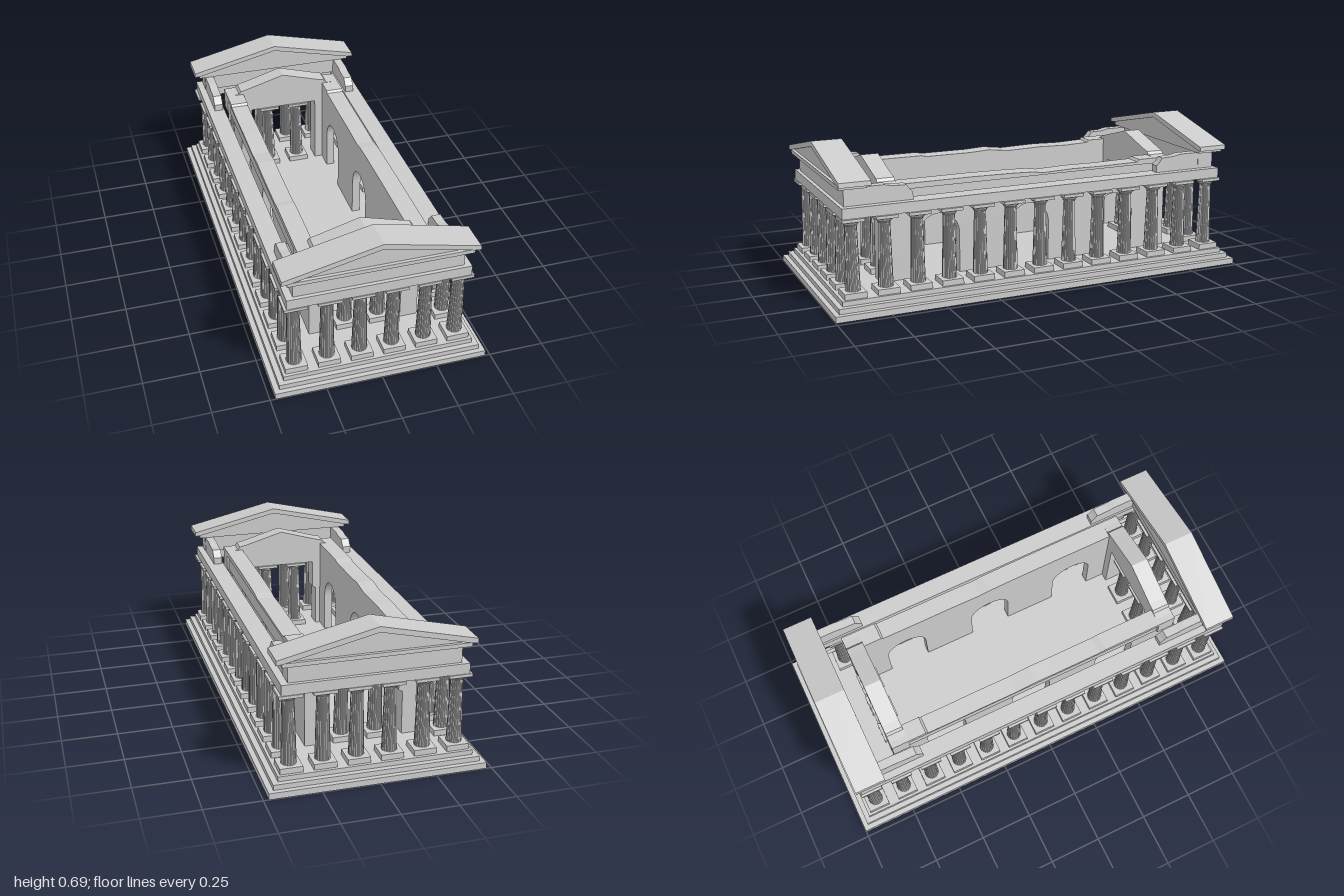
import * as THREE from 'three';

const stone = new THREE.MeshStandardMaterial({ color: 0xcccccc, flatShading: true });

export function createModel() {
  const temple = new THREE.Group();
  temple.name = 'ruinedTemple';

  const add = (name, geometry, parent = temple) => {
    const mesh = new THREE.Mesh(geometry, stone);
    mesh.name = name;
    parent.add(mesh);
    return mesh;
  };
  // Box given by its limits on each axis
  const box = (x0, x1, y0, y1, z0, z1) =>
    new THREE.BoxGeometry(x1 - x0, y1 - y0, z1 - z0)
      .translate((x0 + x1) / 2, (y0 + y1) / 2, (z0 + z1) / 2);
  const polygon = (pts) => new THREE.Shape(pts.map(([x, y]) => new THREE.Vector2(x, y)));
  const extrude = (shape, depth) =>
    new THREE.ExtrudeGeometry(shape, { depth, bevelEnabled: false, curveSegments: 10 });
  // Outline in x and y, filled from z0 to z1
  const acrossZ = (shape, z0, z1) => extrude(shape, z1 - z0).translate(0, 0, z0);
  // Outline in z and y, filled from x0 to x1
  const acrossX = (shape, x0, x1) =>
    extrude(shape, x1 - x0).rotateY(-Math.PI / 2).translate(x1, 0, 0);
  // Rectangular ring of a given width, lying flat from y0 to y1
  const corners = (x, z) => [[-x, -z], [x, -z], [x, z], [-x, z]];
  const frame = (x, z, width, y0, y1) => {
    const shape = polygon(corners(x, z));
    shape.holes.push(polygon(corners(x - width, z - width)));
    return extrude(shape, y1 - y0).rotateX(-Math.PI / 2).translate(0, y0, 0);
  };

  // Stepped platform: two hollow steps under a floor slab
  add('lowerStep', frame(0.477, 1, 0.05, 0, 0.028));
  add('middleStep', frame(0.453, 0.978, 0.05, 0.028, 0.051));
  add('floorSlab', box(-0.428, 0.428, 0.051, 0.073, -0.955, 0.955));

  // Column pieces: plinth, fluted tapering shaft, flared capital, square abacus
  const shaft = new THREE.CylinderGeometry(0.0265, 0.034, 0.295, 40, 4, true);
  const p = shaft.attributes.position;
  for (let i = 0; i < p.count; i++) {
    const flute = (i % 41) % 2 ? 0.93 : 1;
    p.setXYZ(i, p.getX(i) * flute, p.getY(i) + 0.2475, p.getZ(i) * flute);
  }
  const capital = new THREE.LatheGeometry([
    [0.026, 0.387], [0.03, 0.39], [0.031, 0.395], [0.038, 0.401], [0.043, 0.408], [0.044, 0.414],
  ].map(([r, y]) => new THREE.Vector2(r, y)), 20);
  const plinth = box(-0.05, 0.05, 0.073, 0.099, -0.05, 0.05);
  const abacus = box(-0.051, 0.051, 0.411, 0.425, -0.05, 0.05);

  const addColumn = (name, x, z) => {
    const column = new THREE.Group();
    column.name = name;
    add('plinth', plinth, column);
    add('flutedShaft', shaft, column);
    add('capital', capital, column);
    add('abacus', abacus, column);
    column.position.set(x, 0, z);
    temple.add(column);
  };

  // Outer colonnade: 6 by 13, with two inner columns in each doorway
  for (const s of [-1, 1]) {
    for (let i = 0; i < 6; i++) addColumn('endColumn', -0.366 + i * 0.1464, s * 0.891);
    for (let i = 1; i < 12; i++) addColumn('sideColumn', s * 0.366, -0.891 + i * 0.1485);
    for (const x of [-0.077, 0.077]) addColumn('doorwayColumn', x, s * 0.686);
  }

  // Architrave ring over the colonnade
  add('architrave', frame(0.405, 0.937, 0.083, 0.425, 0.472));

  // End frieze, cornice and pediment, facing outward at both ends
  const rake = polygon([
    [-0.43, 0.567], [-0.4, 0.57], [0, 0.662], [0.4, 0.57], [0.43, 0.567],
    [0.428, 0.588], [0, 0.687], [-0.428, 0.588],
  ]);
  const tympanum = polygon([[-0.4, 0.57], [0.4, 0.57], [0, 0.664]]);
  const brokenReturn = polygon([
    [0.9, 0.472], [0.9, 0.55], [0.74, 0.55], [0.7, 0.542], [0.64, 0.54],
    [0.625, 0.52], [0.61, 0.505], [0.61, 0.472],
  ]);
  for (const turn of [0, Math.PI]) {
    const end = new THREE.Group();
    end.name = turn ? 'backPediment' : 'frontPediment';
    add('frieze', box(-0.374, 0.374, 0.472, 0.552, 0.84, 0.92), end);
    add('horizontalCornice', box(-0.404, 0.404, 0.552, 0.57, 0.825, 0.95), end);
    add('tympanum', acrossZ(tympanum, 0.825, 0.935), end);
    add('rakingCornice', acrossZ(rake, 0.813, 0.955), end);
    for (const x of [-0.372, 0.33]) add('brokenFriezeReturn', acrossX(brokenReturn, x, x + 0.042), end);
    end.rotation.y = turn;
    temple.add(end);
  }

  // Inner chamber side walls, each pierced by three arches down to the floor
  const wall = new THREE.Shape();
  wall.moveTo(-0.728, 0.073);
  for (const z of [-0.45, 0, 0.45]) {
    wall.lineTo(z - 0.1, 0.073);
    wall.lineTo(z - 0.1, 0.262);
    wall.absarc(z, 0.262, 0.1, Math.PI, 0, true);
    wall.lineTo(z + 0.1, 0.073);
  }
  wall.lineTo(0.728, 0.073);
  wall.lineTo(0.728, 0.43);
  wall.lineTo(-0.728, 0.43);

  // Worn top courses of the side walls
  const wornTops = {
    right: [[0.728, 0.525], [0.36, 0.525], [0.33, 0.518], [0.1, 0.518], [0, 0.523],
      [-0.1, 0.51], [-0.28, 0.514], [-0.42, 0.51], [-0.55, 0.514], [-0.56, 0.525], [-0.728, 0.525]],
    left: [[0.728, 0.525], [0.3, 0.525], [0.1, 0.522], [0, 0.518], [-0.05, 0.51],
      [-0.2, 0.514], [-0.35, 0.512], [-0.55, 0.514], [-0.56, 0.525], [-0.728, 0.525]],
  };
  for (const [side, s] of [['left', 1], ['right', -1]]) {
    const from = (width) => Math.min(s * 0.212, s * (0.212 + width));
    add(side + 'ArchedWall', acrossX(wall, from(0.04), from(0.04) + 0.04));
    add(side + 'UpperCourse', box(from(0.074), from(0.074) + 0.074, 0.422, 0.5, -0.728, 0.728));
    const outline = polygon([[-0.728, 0.5], [0.728, 0.5], ...wornTops[side]]);
    add(side + 'WornTopCourse', acrossX(outline, from(0.084), from(0.084) + 0.084));
  }

  // Chamber ends: jambs beside the doorway and a worn gable above it
  const gable = polygon([
    [-0.296, 0.424], [0.296, 0.424], [0.296, 0.522], [0.235, 0.528], [0.225, 0.542],
    [0.19, 0.55], [0, 0.605], [-0.19, 0.55], [-0.225, 0.542], [-0.235, 0.528], [-0.296, 0.522],
  ]);
  const brokenJamb = polygon([
    [-0.252, 0.073], [-0.188, 0.073], [-0.188, 0.275], [-0.17, 0.285], [-0.17, 0.43], [-0.252, 0.43],
  ]);
  for (const z of [-0.728, 0.646]) {
    add('chamberGable', acrossZ(gable, z, z + 0.082));
    add('leftDoorJamb', box(0.172, 0.252, 0.073, 0.43, z, z + 0.082));
    add('brokenRightDoorJamb', acrossZ(brokenJamb, z, z + 0.082));
  }
  return temple;
}
